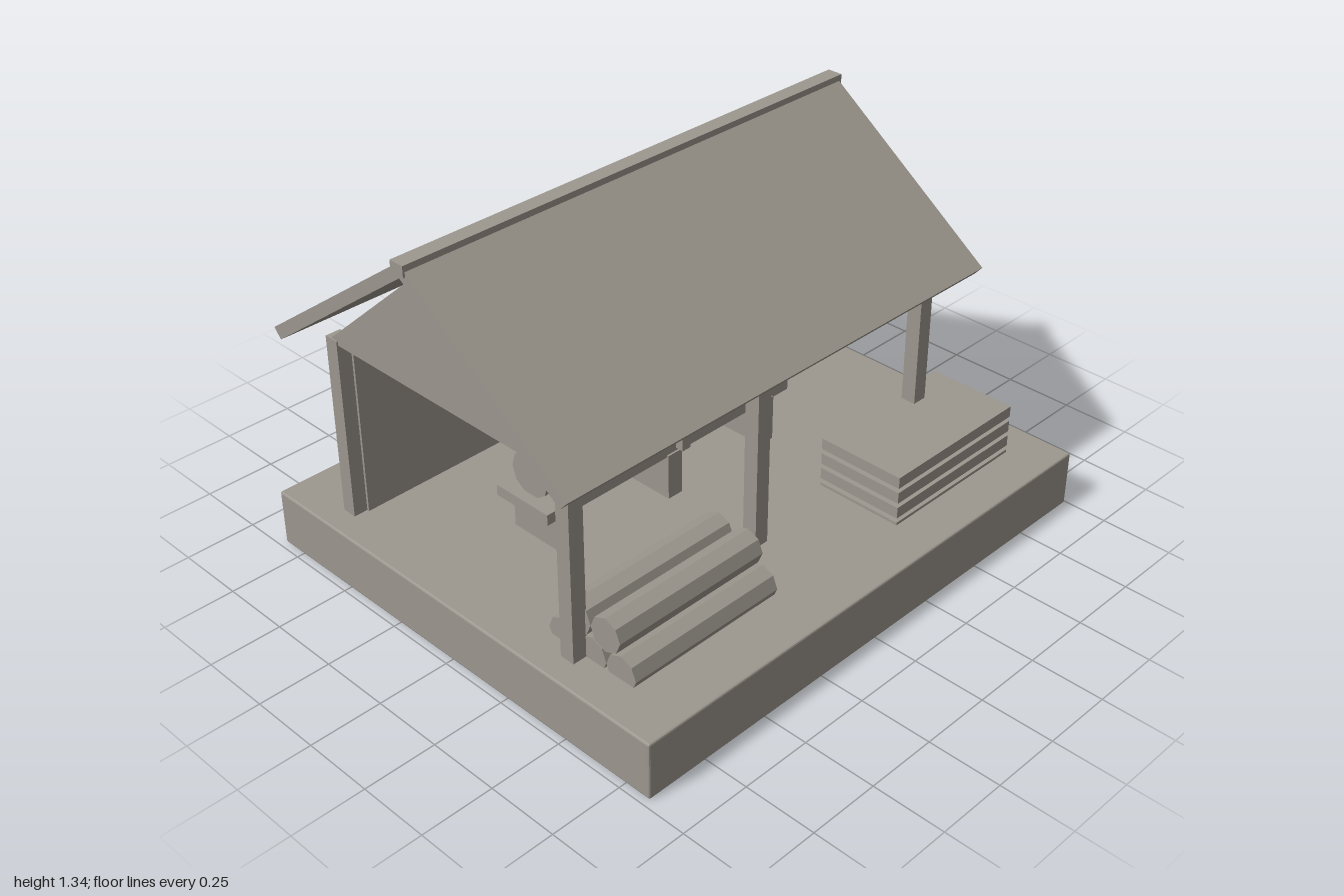
import * as THREE from 'three';
import { RoundedBoxGeometry } from 'three/addons/geometries/RoundedBoxGeometry.js';

export function createModel() {
  const model = new THREE.Group();
  model.name = 'sawmill';
  const timber = new THREE.MeshStandardMaterial({ color: 0x9c978e, flatShading: true });
  timber.name = 'weathered timber';

  const add = (name, geometry) => {
    const mesh = new THREE.Mesh(geometry, timber);
    mesh.name = name;
    model.add(mesh);
    return mesh;
  };
  // Box given by its extents on each axis
  const box = (name, x0, x1, y0, y1, z0, z1, bevel = 0) => {
    const size = [x1 - x0, y1 - y0, z1 - z0];
    const geometry = bevel ? new RoundedBoxGeometry(...size, 1, bevel) : new THREE.BoxGeometry(...size);
    add(name, geometry).position.set((x0 + x1) / 2, (y0 + y1) / 2, (z0 + z1) / 2);
  };
  // Faceted log along x, with corners at its front and back
  const log = (name, x0, x1, y, z, radius, sides) => {
    const geometry = new THREE.CylinderGeometry(radius, radius, x1 - x0, sides);
    geometry.rotateY(Math.PI / 2).rotateZ(Math.PI / 2);
    if (sides % 4) geometry.rotateX(Math.PI / 2);
    add(name, geometry).position.set((x0 + x1) / 2, y, z);
  };
  // Profile of [z, y] points drawn out along x
  const alongX = (name, points, x0, x1) => {
    const shape = new THREE.Shape(points.map(([z, y]) => new THREE.Vector2(-z, y)));
    const geometry = new THREE.ExtrudeGeometry(shape, { depth: x1 - x0, bevelEnabled: false });
    geometry.rotateY(Math.PI / 2);
    add(name, geometry).position.x = x0;
  };

  // Base slab
  box('base', -0.975, 0.995, 0, 0.2, -0.845, 0.845, 0.006);

  // Posts and back wall
  for (const x of [-0.863, -0.097, 0.667]) {
    box('frontPost', x - 0.027, x + 0.027, 0.2, 0.845, 0.4, 0.453);
    box('backPost', x - 0.027, x + 0.027, 0.2, 0.845, -0.617, -0.564);
  }
  box('backWall', -0.84, 0.64, 0.2, 0.826, -0.59, -0.555);

  // Roof, ridge cap and gables, all centred on the ridge line
  const ridge = -0.082;
  for (const s of [-1, 1]) {
    alongX('roofPanel', [
      [ridge, 1.293], [ridge + s * 0.619, 0.84], [ridge + s * 0.647, 0.872], [ridge, 1.342],
    ], -0.993, 0.795);
  }
  box('ridgeCap', -1, 0.805, 1.306, 1.343, ridge - 0.027, ridge + 0.027);
  for (const x of [-0.855, 0.658]) {
    alongX('gable', [[ridge - 0.53, 0.83], [ridge + 0.53, 0.83], [ridge, 1.293]], x - 0.03, x + 0.03);
  }

  // Saw bench with a log and an upright saw plate
  box('benchTop', -0.635, 0.445, 0.357, 0.395, -0.16, 0.07);
  for (const x of [-0.53, -0.095, 0.338]) {
    box('benchLeg', x - 0.03, x + 0.03, 0.2, 0.365, -0.17, 0.077);
  }
  log('benchLog', -0.595, 0.348, 0.467, -0.048, 0.08, 10);
  box('sawPlate', -0.085, -0.05, 0.375, 0.762, -0.195, 0.1);

  // Log pile: three below, two on top
  for (const z of [0.357, 0.477, 0.597]) log('pileLog', -0.84, -0.25, 0.224, z, 0.06, 8);
  for (const z of [0.415, 0.535]) log('pileLog', -0.84, -0.25, 0.325, z, 0.06, 8);

  // Stacked planks
  for (let i = 0; i < 4; i++) {
    const top = 0.21 + i * 0.0567;
    box('plank', 0.275, 0.85, top - 0.04, top, 0.372, 0.688);
  }
  return model;
}
